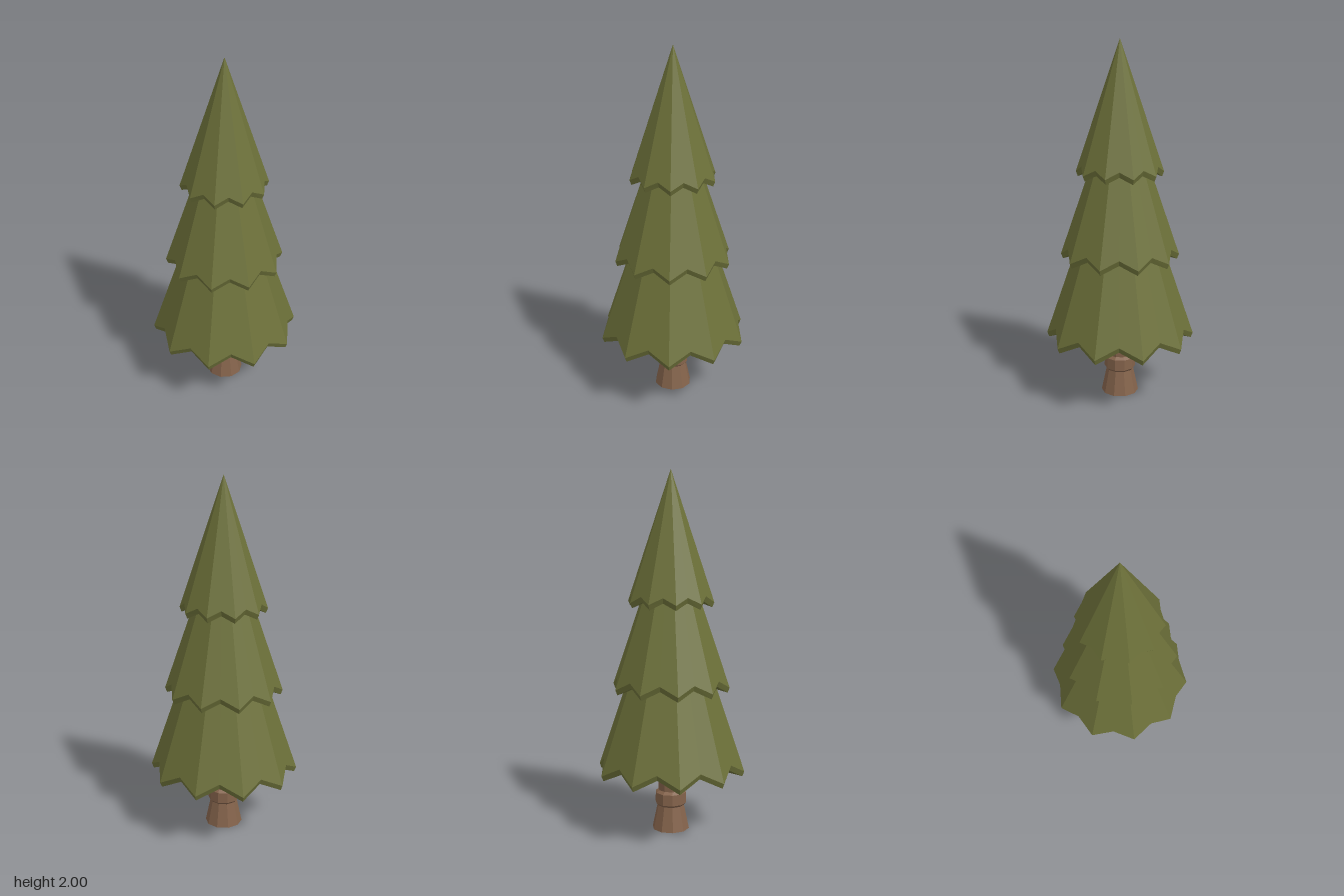
import * as THREE from 'three';

const SIDES = 10;
const foliage = new THREE.MeshStandardMaterial({ color: 0x6c7039 });
foliage.name = 'foliage green';
const bark = new THREE.MeshStandardMaterial({ color: 0x84634b });
bark.name = 'bark brown';

// Point on a circle; the angle starts at +z and turns towards +x
const polar = (r, y, a) => [r * Math.sin(a), y, r * Math.cos(a)];

// Zigzag ring: odd points are the notches between the branch tips
function zigzag(tipR, tipY, notchR, notchY) {
  return Array.from({ length: SIDES * 2 }, (_, i) => {
    const a = (i * Math.PI) / SIDES;
    return i % 2 ? polar(notchR, notchY, a) : polar(tipR, tipY, a);
  });
}

// One faceted tier: pyramid with a notched hem, a thin rim and a hollowed underside
function tierGeometry(r, y, apexY) {
  const k = 0.947; // notches lie on the pyramid faces, this far down from the apex
  const notchR = r * Math.cos(Math.PI / SIDES) * k;
  const notchY = apexY - (apexY - y) * k;
  const upper = zigzag(r, y, notchR, notchY);
  const lower = zigzag(r - 0.011, y - 0.028, notchR - 0.011, notchY - 0.03);
  const apex = [0, apexY, 0];
  const hollow = [0, y + 0.055, 0];
  const pos = [];
  for (let i = 0; i < SIDES * 2; i++) {
    const j = (i + 1) % (SIDES * 2);
    pos.push(...apex, ...upper[i], ...upper[j]);
    pos.push(...upper[i], ...lower[i], ...lower[j]);
    pos.push(...upper[i], ...lower[j], ...upper[j]);
    pos.push(...hollow, ...lower[j], ...lower[i]);
  }
  const geo = new THREE.BufferGeometry();
  geo.setAttribute('position', new THREE.Float32BufferAttribute(pos, 3));
  geo.computeVertexNormals();
  return geo;
}

// Ten-sided trunk with a flared foot and a raised collar
function trunkGeometry() {
  const profile = [
    [0, 0], [0.105, 0], [0.076, 0.137], [0.088, 0.15], [0.087, 0.212],
    [0.07, 0.226], [0.073, 0.285], [0.06, 0.42], [0, 0.42],
  ].map(([r, y]) => new THREE.Vector2(r, y));
  const geo = new THREE.LatheGeometry(profile, SIDES).toNonIndexed();
  geo.computeVertexNormals();
  return geo;
}

export function createModel() {
  const tree = new THREE.Group();
  tree.name = 'pineTree';

  const add = (name, geo, mat) => {
    const mesh = new THREE.Mesh(geo, mat);
    mesh.name = name;
    tree.add(mesh);
  };

  add('trunk', trunkGeometry(), bark);

  // Tiers: name, tip radius, tip height, apex height
  [
    ['lowerTier', 0.416, 0.352, 1.57],
    ['middleTier', 0.329, 0.823, 1.785],
    ['topTier', 0.24, 1.292, 2],
  ].forEach(([name, r, y, apexY]) => add(name, tierGeometry(r, y, apexY), foliage));

  return tree;
}
